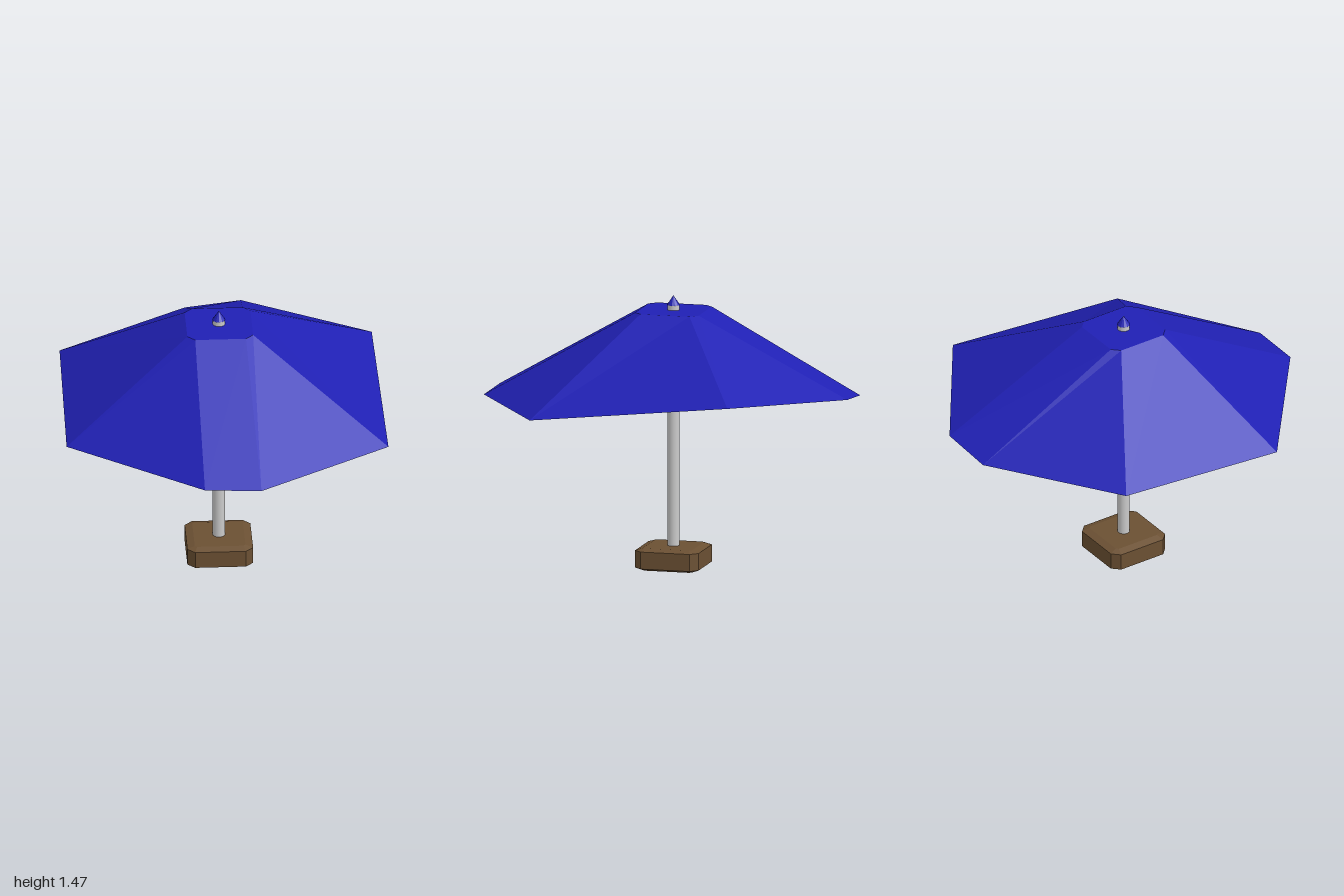
import * as THREE from 'three';

const material = (color, extra = {}) =>
  new THREE.MeshStandardMaterial({ color, flatShading: true, ...extra });

// Centre line of the pole, base and canopy top
const CX = -0.022, CZ = 0.003;

// Rectangle with cut corners, counter-clockwise seen from below (front edge first)
function octagon(hx, hz, cut, y) {
  const a = hx - cut, b = hz - cut;
  return [[-a, hz], [a, hz], [hx, b], [hx, -b], [a, -hz], [-a, -hz], [-hx, -b], [-hx, b]]
    .map(([x, z]) => [x + CX, y, z + CZ]);
}

// Skin a stack of rings listed from bottom to top, with optional flat caps
function loft(rings, capBottom, capTop) {
  const n = rings[0].length, index = [];
  for (let r = 0; r < rings.length - 1; r++) {
    for (let i = 0; i < n; i++) {
      const j = (i + 1) % n, a = r * n, b = a + n;
      index.push(a + i, a + j, b + j, a + i, b + j, b + i);
    }
  }
  const top = (rings.length - 1) * n;
  for (let i = 1; i < n - 1; i++) {
    if (capBottom) index.push(0, i + 1, i);
    if (capTop) index.push(top, top + i, top + i + 1);
  }
  const geometry = new THREE.BufferGeometry();
  geometry.setAttribute('position', new THREE.Float32BufferAttribute(rings.flat(2), 3));
  geometry.setIndex(index);
  const flat = geometry.toNonIndexed();
  flat.computeVertexNormals();
  return flat;
}

export function createModel() {
  const group = new THREE.Group();
  const add = (name, geometry, mat, x = 0, y = 0, z = 0) => {
    const mesh = new THREE.Mesh(geometry, mat);
    mesh.name = name;
    mesh.position.set(x, y, z);
    group.add(mesh);
  };
  const blue = 0x2020b4;

  // Wooden foot: block with bevelled rims and cut corners
  add('base', loft([
    octagon(0.135, 0.135, 0.012, 0),
    octagon(0.175, 0.175, 0.04, 0.015),
    octagon(0.175, 0.175, 0.04, 0.107),
    octagon(0.135, 0.135, 0.012, 0.12),
  ], true, true), material(0x6b5033));

  // Pole running through the canopy
  const pole = new THREE.CylinderGeometry(0.033, 0.033, 1.32, 16);
  add('pole', pole, new THREE.MeshStandardMaterial({ color: 0xcccccc }), CX, 0.76, CZ);

  // Thin canopy with an uneven, slightly drooping rim
  const rim = [
    [-0.15, 0.925, 0.99], [0.15, 0.917, 1.0], [0.85, 0.925, 0.56], [0.82, 1.035, -0.52],
    [0.15, 0.985, -1.0], [-0.15, 0.955, -0.99], [-0.84, 0.96, -0.54], [-0.855, 0.9, 0.42],
  ];
  add('canopy', loft([rim, octagon(0.175, 0.175, 0.04, 1.393)], false, true),
    material(blue, { side: THREE.DoubleSide }));

  // Pointed tip
  add('finial', new THREE.ConeGeometry(0.035, 0.052, 12), material(blue), CX, 1.445, CZ);

  return group;
}
